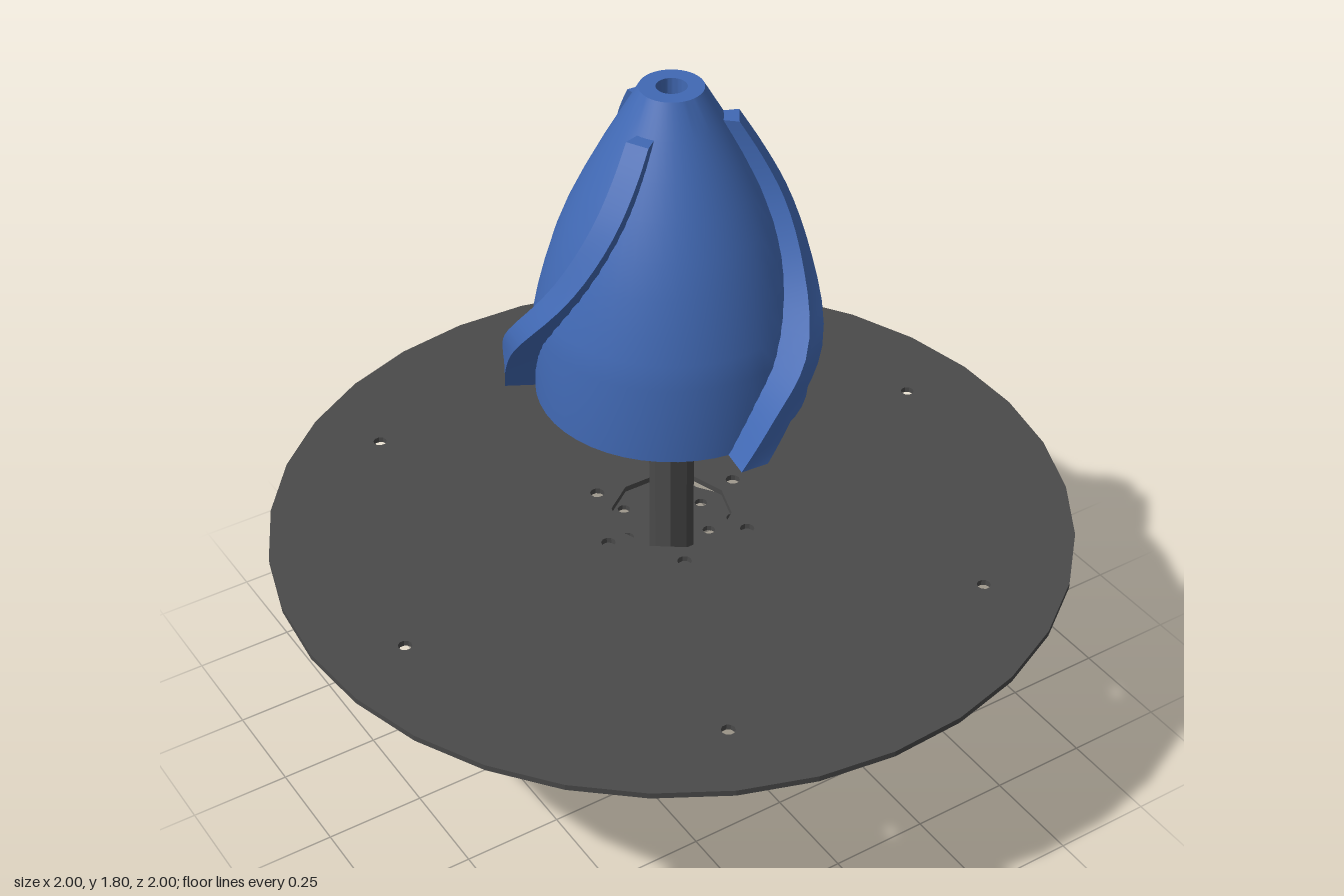
import * as THREE from 'three';
import { toCreasedNormals } from 'three/addons/utils/BufferGeometryUtils.js';

const rad = THREE.MathUtils.degToRad;
const polar = (r, deg) => new THREE.Vector2(r * Math.cos(rad(deg)), r * Math.sin(rad(deg)));

const polygon = (r, sides, startDeg) =>
  Array.from({ length: sides }, (_, i) => polar(r, startDeg + (i * 360) / sides));

function roundHole(r, at = new THREE.Vector2()) {
  return new THREE.Path().absarc(at.x, at.y, r, 0, Math.PI * 2, true);
}

// Six round holes spaced evenly on a circle
function holeCircle(shape, holeRadius, circleRadius, startDeg) {
  for (let i = 0; i < 6; i++) shape.holes.push(roundHole(holeRadius, polar(circleRadius, startDeg + i * 60)));
}

// Flat shape raised from height y0 to y1
function plate(shape, y0, y1) {
  const g = new THREE.ExtrudeGeometry(shape, { depth: y1 - y0, bevelEnabled: false, curveSegments: 5 });
  g.rotateX(-Math.PI / 2);
  g.translate(0, y0, 0);
  return g;
}

// Trapezoid window with softened corners
function windowHole(deg) {
  const corners = [polar(0.26, deg - 11), polar(0.44, deg - 23), polar(0.46, deg), polar(0.44, deg + 23), polar(0.26, deg + 11)];
  const path = new THREE.Path();
  corners.forEach((c, i) => {
    const prev = corners[(i + 4) % 5], next = corners[(i + 1) % 5];
    const a = c.clone().lerp(prev, 0.22), b = c.clone().lerp(next, 0.22);
    if (i === 0) path.moveTo(a.x, a.y); else path.lineTo(a.x, a.y);
    path.quadraticCurveTo(c.x, c.y, b.x, b.y);
  });
  path.closePath();
  return path;
}

// Spiral blade: four-cornered sections swept up the hub
function bladeGeometry() {
  // height, leading angle in degrees, outer radius
  const track = new THREE.CatmullRomCurve3([
    [1.0, 1, 0.40], [1.12, 13, 0.402], [1.24, 27, 0.40], [1.4, 45, 0.33],
    [1.55, 58, 0.262], [1.65, 64, 0.205], [1.73, 68, 0.155],
  ].map((p) => new THREE.Vector3(p[0], p[1] / 100, p[2])));
  const steps = 24, pos = [], index = [];
  for (let i = 0; i <= steps; i++) {
    const p = track.getPoint(i / steps);
    const lead = rad(p.y * 100), outer = p.z, inner = outer * 0.6;
    const trail = lead - (0.05 + 0.05 * outer) / outer;
    for (const [r, a] of [[inner, trail], [outer, trail], [outer, lead], [inner, lead]]) {
      pos.push(r * Math.sin(a), p.x, r * Math.cos(a));
    }
    if (i === steps) continue;
    for (let j = 0; j < 4; j++) {
      const a = i * 4 + j, b = i * 4 + ((j + 1) % 4);
      index.push(a, b, b + 4, a, b + 4, a + 4);
    }
  }
  const t = steps * 4;
  index.push(0, 2, 1, 0, 3, 2, t, t + 1, t + 2, t, t + 2, t + 3);
  const g = new THREE.BufferGeometry();
  g.setAttribute('position', new THREE.Float32BufferAttribute(pos, 3));
  g.setIndex(index);
  return toCreasedNormals(g, 0.7);
}

export function createModel() {
  const model = new THREE.Group();
  const blue = new THREE.MeshStandardMaterial({ color: 0x4169b4 });
  blue.name = 'blue';
  const darkGrey = new THREE.MeshStandardMaterial({ color: 0x4a4a4a });
  darkGrey.name = 'dark grey';

  function add(name, geometry, material, parent = model) {
    const mesh = new THREE.Mesh(geometry, material);
    mesh.name = name;
    parent.add(mesh);
    return mesh;
  }

  // Hollow shaft
  const shaftShape = new THREE.Shape(polygon(0.055, 8, 10));
  shaftShape.holes.push(roundHole(0.018));
  add('shaft', plate(shaftShape, 0, 1.0), darkGrey);

  // Large thin disc
  const discShape = new THREE.Shape(polygon(1, 33, 180));
  discShape.holes.push(roundHole(0.15));
  holeCircle(discShape, 0.018, 0.2, 6.4);
  holeCircle(discShape, 0.017, 0.805, 6.4);
  add('disc', plate(discShape, 0.583, 0.598), darkGrey);

  // Toothed ring plate with windows
  const teeth = 72, outline = [];
  for (let i = 0; i < teeth; i++) {
    const a = (i * 360) / teeth;
    outline.push(polar(0.56, a), polar(0.56, a + 1.3), polar(0.585, a + 2.3), polar(0.585, a + 4));
  }
  const sprocketShape = new THREE.Shape(outline);
  sprocketShape.holes.push(roundHole(0.05));
  for (let i = 0; i < 6; i++) sprocketShape.holes.push(windowHole(35 + i * 60));
  holeCircle(sprocketShape, 0.016, 0.43, 5);
  holeCircle(sprocketShape, 0.016, 0.3, 5);
  holeCircle(sprocketShape, 0.018, 0.2, 5);
  holeCircle(sprocketShape, 0.016, 0.2, 35);
  holeCircle(sprocketShape, 0.016, 0.12, 5);
  add('sprocket', plate(sprocketShape, 0.463, 0.477), darkGrey);

  // Rounded cone hub with a stepped bore
  const rotor = new THREE.Group();
  rotor.name = 'rotor';
  model.add(rotor);
  const profile = [
    [0.018, 1.0], [0.328, 1.0], [0.328, 1.2], [0.316, 1.26], [0.298, 1.33], [0.274, 1.41], [0.243, 1.49],
    [0.205, 1.57], [0.163, 1.65], [0.118, 1.73], [0.075, 1.805], [0.036, 1.805], [0.036, 1.72],
    [0.018, 1.72], [0.018, 1.0],
  ].map((p) => new THREE.Vector2(p[0], p[1]));
  add('hub', toCreasedNormals(new THREE.LatheGeometry(profile, 48), 0.5), blue, rotor);

  // Three spiral blades
  const blade = bladeGeometry();
  for (let i = 0; i < 3; i++) add('blade' + (i + 1), blade, blue, rotor).rotation.y = (i * Math.PI * 2) / 3;

  return model;
}
